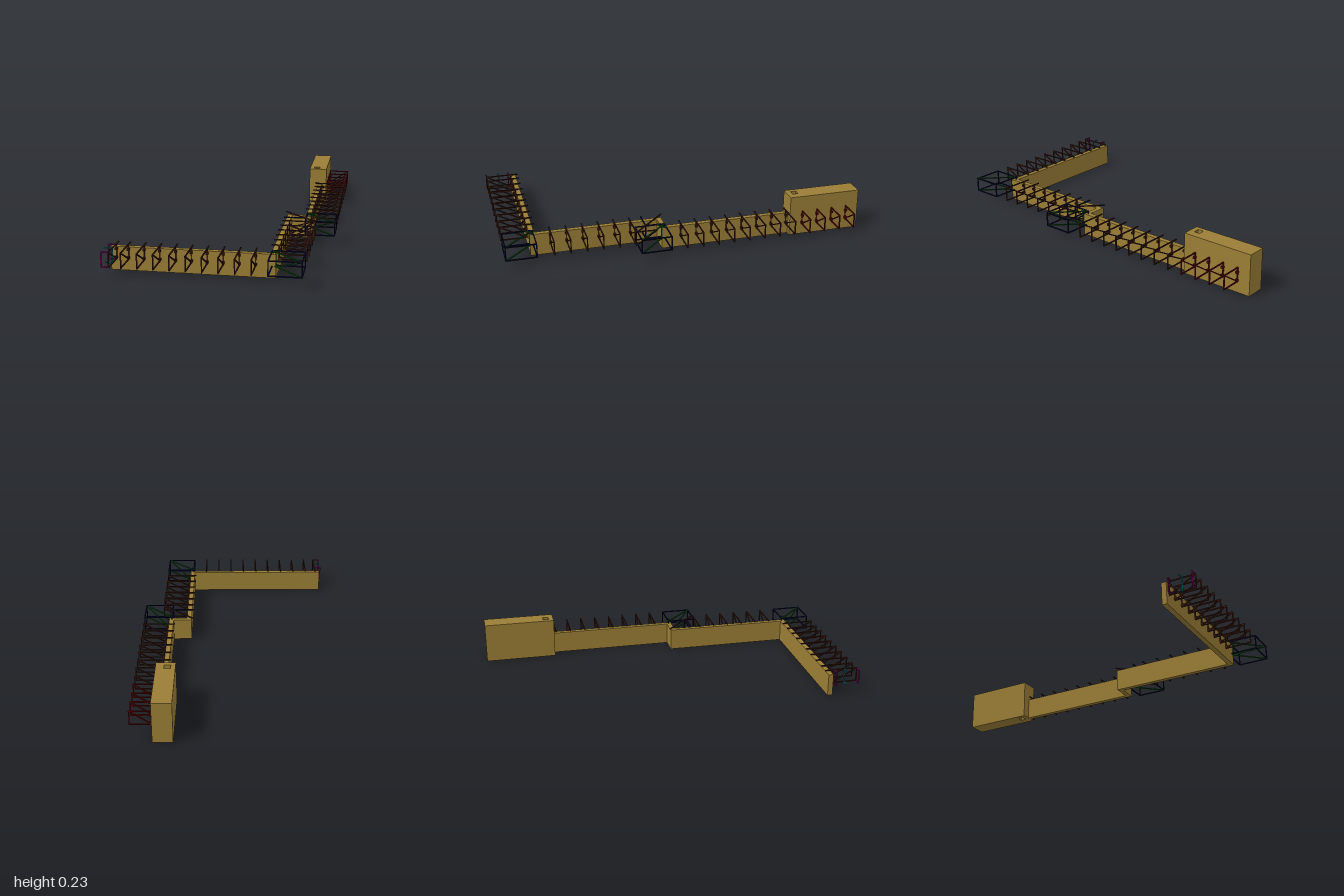
import * as THREE from 'three';

const mat = (color) => new THREE.MeshStandardMaterial({ color });
const LOW = 0.062, TOP = 0.139, ROD = 0.006;

export function createModel() {
  const model = new THREE.Group();
  const wood = mat(0x9a7e36), brown = mat(0x3c1a10), red = mat(0x5c0808);
  const green = mat(0x0a4a14), navy = mat(0x0a0a32), magenta = mat(0x7a0a6a), teal = mat(0x0a7078);

  // Box given by its extents
  function block(name, x0, x1, y0, y1, z0, z1) {
    const m = new THREE.Mesh(new THREE.BoxGeometry(x1 - x0, y1 - y0, z1 - z0), wood);
    m.position.set((x0 + x1) / 2, (y0 + y1) / 2, (z0 + z1) / 2);
    m.name = name;
    model.add(m);
  }

  // Square rod between two points
  function rod(parent, name, a, b, material, size = ROD) {
    const p = new THREE.Vector3(...a), q = new THREE.Vector3(...b);
    const m = new THREE.Mesh(new THREE.BoxGeometry(size, size, p.distanceTo(q) + size * 0.8), material);
    m.position.copy(p).add(q).multiplyScalar(0.5);
    m.lookAt(q);
    m.name = name;
    parent.add(m);
  }

  // Wall-mounted bracket: p(d) gives the plan position at distance d along the bracket
  function bracket(p, back, face, outer, material) {
    const g = new THREE.Group();
    g.name = 'bracket';
    const at = (d, y) => [p(d)[0], y, p(d)[1]];
    rod(g, 'topRail', at(back, TOP), at(outer, TOP), material);
    rod(g, 'bottomRail', at(face, LOW), at(outer, LOW), material);
    rod(g, 'innerPost', at(face, LOW), at(face, TOP), material);
    rod(g, 'outerPost', at(outer, LOW), at(outer, TOP), material);
    rod(g, 'brace', at(face, LOW), at(outer, TOP), material);
    for (const y of [0.07, 0.115]) rod(g, 'bolt', at(face, y), at(face + 0.008, y), material, 0.012);
    model.add(g);
  }

  // Square frame round an outside corner; (x0,z0) is the wall corner
  function cornerFrame(x0, z0, x1, z1) {
    const g = new THREE.Group();
    g.name = 'cornerFrame';
    const c = [[x0, z0], [x1, z0], [x1, z1], [x0, z1]];
    c.forEach(([x, z], i) => {
      const [nx, nz] = c[(i + 1) % 4];
      for (const y of [LOW, TOP]) rod(g, 'rail', [x, y, z], [nx, y, nz], navy);
      rod(g, 'post', [x, LOW, z], [x, TOP, z], navy);
    });
    rod(g, 'topDiagonal', [x0, TOP, z0], [x1, TOP, z1], green);
    rod(g, 'bottomDiagonal', [x0, LOW, z0], [x1, LOW, z1], green);
    rod(g, 'brace', [x0 + 0.02, LOW, z0 + 0.02], [x1, TOP, z1], green);
    rod(g, 'cornerPost', [x0 + 0.02, LOW, z0 + 0.02], [x0 + 0.02, TOP, z0 + 0.02], green);
    rod(g, 'cornerTie', [x0, TOP, z0 + 0.04], [x0 + 0.045, TOP, z0], green);
    model.add(g);
  }

  // Stepped parapet wall
  const H = 0.125;
  block('frontWall', -0.545, 0.302, 0, H, 0.82, 0.848);
  block('middleWall', 0.275, 0.302, 0, H, 0.115, 0.82);
  block('stepWall', 0.302, 0.407, 0, H, 0.115, 0.142);
  block('rearWall', 0.38, 0.407, 0, H, -0.592, 0.115);

  // Tall end block with a square shaft
  const plan = new THREE.Shape([[0.33, 1], [0.33, 0.592], [0.435, 0.592], [0.435, 1]]
    .map(([x, y]) => new THREE.Vector2(x, y)));
  plan.holes.push(new THREE.Path([[0.355, 0.62], [0.355, 0.653], [0.39, 0.653], [0.39, 0.62]]
    .map(([x, y]) => new THREE.Vector2(x, y))));
  const tower = new THREE.Mesh(new THREE.ExtrudeGeometry(plan, { depth: 0.228, bevelEnabled: false }), wood);
  tower.rotation.x = -Math.PI / 2;
  tower.name = 'endBlock';
  model.add(tower);

  // Brackets on the end block and rear wall
  for (let i = 0; i < 12; i++) {
    const z = -0.928 + i * 0.0877, onBlock = i < 4;
    bracket((d) => [d, z], onBlock ? 0.437 : 0.372, onBlock ? 0.437 : 0.409, 0.552, onBlock ? red : brown);
  }
  // Brackets on the middle wall
  for (let i = 0; i < 6; i++) {
    const z = 0.738 - i * 0.0885;
    bracket((d) => [d, z], 0.267, 0.304, 0.447, brown);
  }
  // Brackets on the front wall
  for (let i = 0; i < 10; i++) {
    const x = i ? -0.452 + (i - 1) * 0.0815 : -0.515;
    bracket((d) => [x, d], 0.81, 0.85, 0.995, brown);
  }

  // Outside corners
  cornerFrame(0.282, 0.83, 0.447, 0.994);
  cornerFrame(0.39, 0.125, 0.552, 0.288);

  // Inside corner
  const inner = new THREE.Group();
  inner.name = 'innerCornerFrame';
  rod(inner, 'topDiagonal', [0.267, TOP, 0.112], [0.447, TOP, 0.288], brown);
  rod(inner, 'bottomDiagonal', [0.304, LOW, 0.144], [0.447, LOW, 0.288], brown);
  rod(inner, 'brace', [0.304, LOW, 0.144], [0.447, TOP, 0.288], brown);
  for (const y of [LOW, TOP]) {
    rod(inner, 'rail', [y === TOP ? 0.268 : 0.304, y, 0.228], [0.387, y, 0.228], navy);
    rod(inner, 'rail', [0.387, y, 0.144], [0.387, y, 0.228], navy);
  }
  rod(inner, 'post', [0.387, LOW, 0.228], [0.387, TOP, 0.228], navy);
  model.add(inner);

  // End return past the front wall
  const end = new THREE.Group();
  end.name = 'endReturn';
  for (const z of [0.862, 0.994]) {
    rod(end, 'post', [-0.553, LOW, z], [-0.553, TOP, z], magenta);
    for (const y of [LOW, TOP]) rod(end, 'rail', [-0.553, y, z], [-0.515, y, z], magenta);
  }
  for (const y of [LOW, TOP]) rod(end, 'crossRail', [-0.553, y, 0.922], [-0.515, y, 0.922], teal);
  rod(end, 'crossPost', [-0.515, LOW, 0.922], [-0.515, TOP, 0.922], teal);
  model.add(end);

  return model;
}
